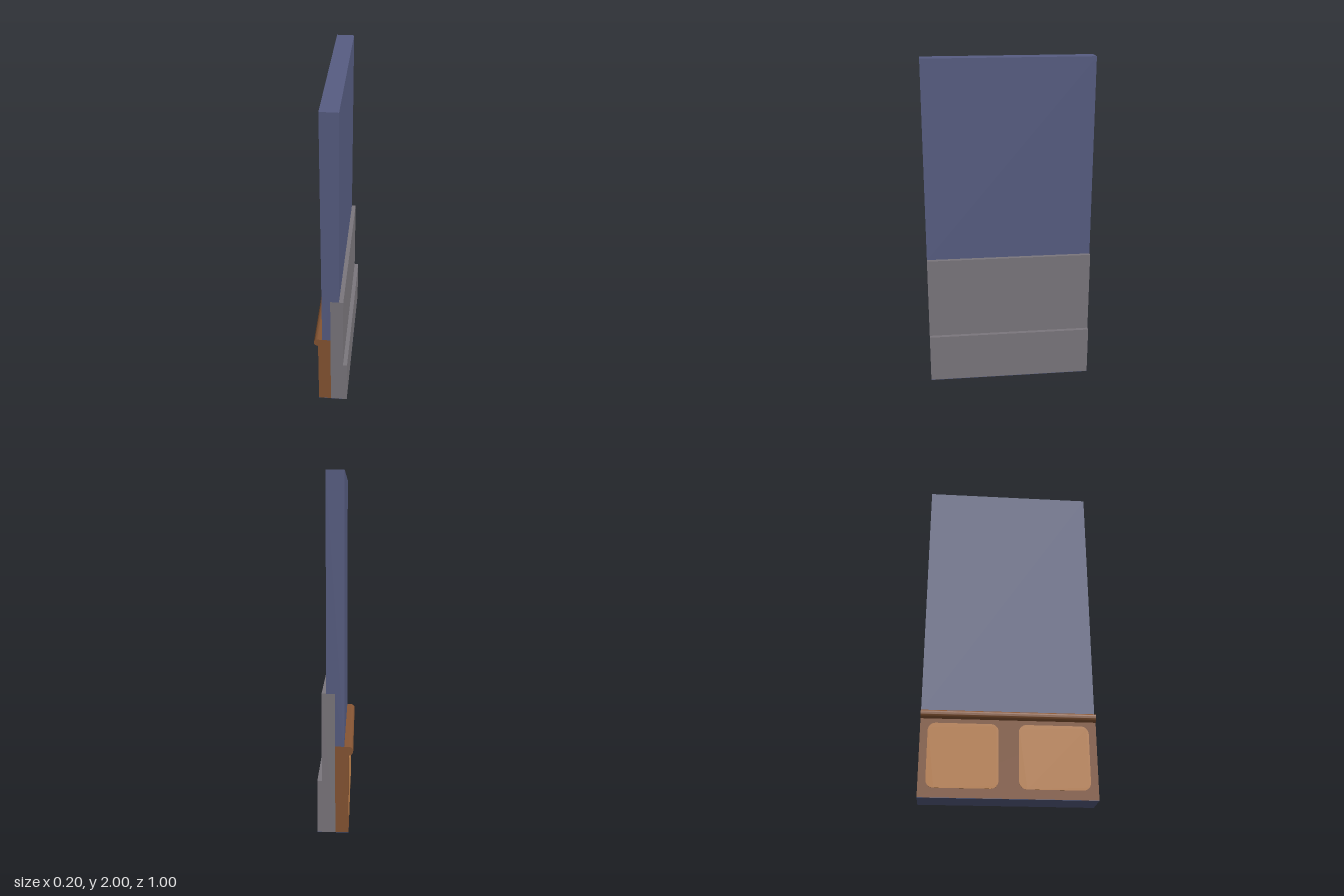
import * as THREE from 'three';
import { toCreasedNormals } from 'three/addons/utils/BufferGeometryUtils.js';

const material = (name, color) => {
  const m = new THREE.MeshStandardMaterial({ color });
  m.name = name;
  return m;
};

const polygon = (points) => new THREE.Shape(points.map(([x, y]) => new THREE.Vector2(x, y)));

export function createModel() {
  const group = new THREE.Group();
  group.name = 'wallSection';
  const plaster = material('bluePlaster', 0x575d82);
  const stone = material('greyStone', 0x7b777d);
  const wood = material('brownWood', 0x865533);
  const lightWood = material('lightWood', 0xc4854d);

  // Sweep an x/y cross-section along the wall's length in z
  const addSweep = (name, shape, mat, length = 1) => {
    const geo = new THREE.ExtrudeGeometry(shape, { depth: length, bevelEnabled: false, curveSegments: 16 });
    geo.translate(0, 0, -length / 2);
    const mesh = new THREE.Mesh(toCreasedNormals(geo, 0.6), mat);
    mesh.name = name;
    group.add(mesh);
  };

  const base = 0.002;

  // Plaster wall, stepped where it meets the two claddings
  addSweep('wall', polygon([
    [-0.05, 0.5], [0, 0.5], [0, 0.8], [0.05, 0.8], [0.05, 2], [-0.05, 2],
  ]), plaster);

  // Thin underside
  addSweep('underside', polygon([
    [-0.075, 0], [0.1, 0], [0.1, base], [-0.075, base],
  ]), plaster);

  // Outer stone cladding with a thicker plinth
  addSweep('stoneCladding', polygon([
    [0, base], [0.1, base], [0.1, 0.3], [0.075, 0.3], [0.075, 0.8], [0, 0.8],
  ]), stone);

  // Inner wainscot with a half-round top rail
  const wainscot = new THREE.Shape();
  wainscot.moveTo(-0.075, base);
  wainscot.lineTo(0, base);
  wainscot.lineTo(0, 0.5);
  wainscot.lineTo(-0.075, 0.5);
  wainscot.absarc(-0.075, 0.475, 0.025, Math.PI / 2, Math.PI * 1.5, false);
  addSweep('wainscot', wainscot, wood);

  // Two rounded panels on the wainscot face
  const w = 0.2, h = 0.185, r = 0.045;
  const panel = new THREE.Shape();
  panel.absarc(w - r, h - r, r, 0, Math.PI / 2);
  panel.absarc(-w + r, h - r, r, Math.PI / 2, Math.PI);
  panel.absarc(-w + r, -h + r, r, Math.PI, Math.PI * 1.5);
  panel.absarc(w - r, -h + r, r, Math.PI * 1.5, Math.PI * 2);
  const panelGeo = new THREE.ExtrudeGeometry(panel, { depth: 0.003, bevelEnabled: false, curveSegments: 6 });
  panelGeo.rotateY(-Math.PI / 2);
  for (const side of [-1, 1]) {
    const mesh = new THREE.Mesh(panelGeo, lightWood);
    mesh.name = side < 0 ? 'backPanel' : 'frontPanel';
    mesh.position.set(-0.074, 0.24, side * 0.257);
    group.add(mesh);
  }
  return group;
}
